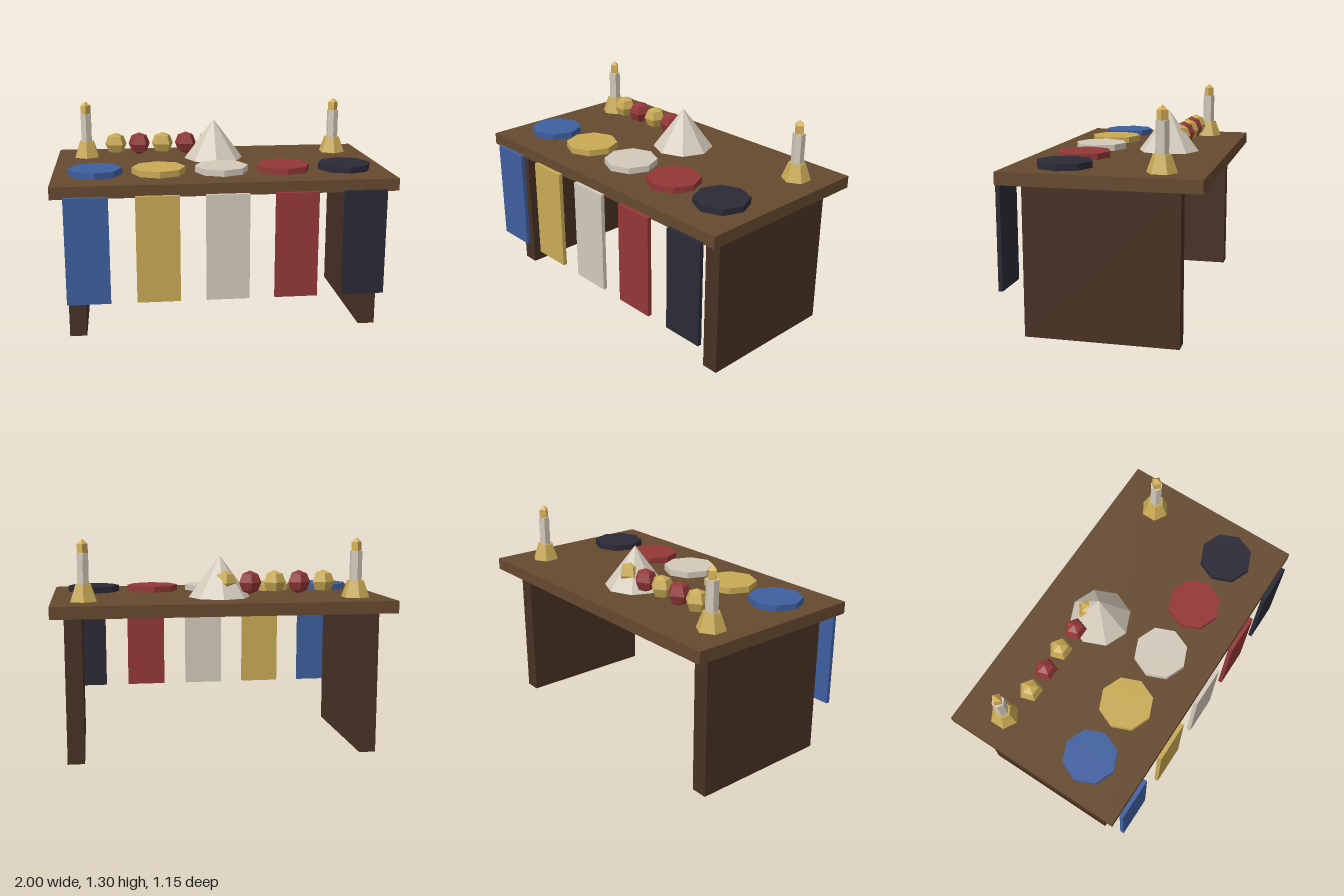
import * as THREE from 'three';

export function createModel() {
  const model = new THREE.Group();
  const mat = (color) => new THREE.MeshStandardMaterial({ color, flatShading: true });
  const wood = mat(0x664a2f), darkWood = mat(0x483225);
  const blue = mat(0x3f5f9f), gold = mat(0xc9aa55), cream = mat(0xd3cabb);
  const red = mat(0x943838), navy = mat(0x2b2a37);
  const palette = [blue, gold, cream, red, navy];

  const add = (name, geometry, material, x, y, z, parent = model) => {
    const mesh = new THREE.Mesh(geometry, material);
    mesh.name = name;
    mesh.position.set(x, y, z);
    parent.add(mesh);
    return mesh;
  };

  // Table: slab and two side panels
  const top = 0.9375;
  add('tableTop', new THREE.BoxGeometry(2, 0.0725, 1.125), wood, 0, top - 0.03625, -0.0125);
  for (const s of [-1, 1]) {
    add(s > 0 ? 'leftLeg' : 'rightLeg', new THREE.BoxGeometry(0.1, 0.87, 0.875), darkWood, s * 0.875, 0.435, -0.0115);
  }

  // Hanging banners and the matching octagonal discs
  palette.forEach((material, i) => {
    add('banner', new THREE.BoxGeometry(0.25, 0.625, 0.025), material, (i - 2) * 0.4, 0.5635, 0.5625);
    add('disc', new THREE.CylinderGeometry(0.16, 0.16, 0.0375, 8), material, (i - 2) * 0.375, top + 0.01875, 0.235);
  });

  // Eight-sided cone
  add('cone', new THREE.ConeGeometry(0.1875, 0.25, 8), cream, 0, top + 0.125, -0.2);

  // Row of faceted beads, the last one sunk into the cone
  const beadGeometry = new THREE.SphereGeometry(0.0715, 5, 4).rotateY(-Math.PI / 2);
  for (let i = 0; i < 5; i++) {
    add('bead', beadGeometry, i % 2 ? red : gold, -0.625 + i * 0.15, 1.028, -0.26);
  }

  // Candles: flared holder, hexagonal shaft, four-sided flame
  for (const s of [-1, 1]) {
    const candle = new THREE.Group();
    candle.name = s > 0 ? 'leftCandle' : 'rightCandle';
    candle.position.set(s * 0.8125, top, -0.324);
    add('holder', new THREE.CylinderGeometry(0.05, 0.0865, 0.1, 6), gold, 0, 0.05, 0, candle);
    add('shaft', new THREE.CylinderGeometry(0.0375, 0.0375, 0.178, 6), cream, 0, 0.189, 0, candle);
    add('flame', new THREE.SphereGeometry(0.036, 4, 3).scale(1, 1.5, 1), mat(0xd9b25a), 0, 0.304, 0, candle);
    model.add(candle);
  }
  return model;
}
